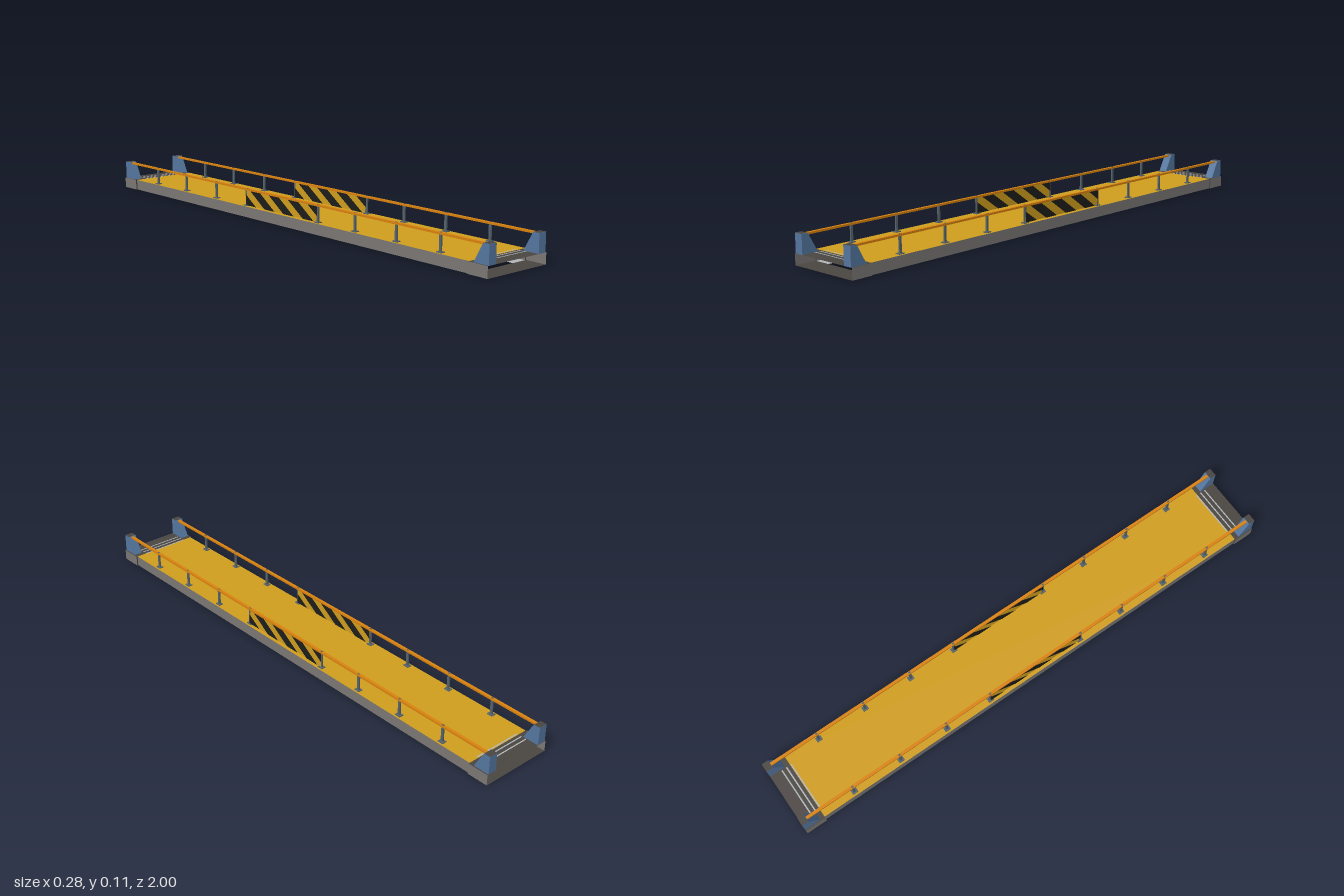
import * as THREE from 'three';

const mat = (name, color, side = THREE.FrontSide) => {
  const m = new THREE.MeshStandardMaterial({ color, side });
  m.name = name;
  return m;
};

export function createModel() {
  const D = THREE.DoubleSide;
  const yellow = mat('deck yellow', 0xd09e1e);
  const black = mat('stripe black', 0x1c1c1a);
  const grey = mat('side grey', 0x7a7773, D);
  const dark = mat('end plate dark', 0x4a4541, D);
  const under = mat('underside dark', 0x2e2a26);
  const blue = mat('post blue', 0x54769f);
  const orange = mat('rail orange', 0xd9820e);
  const steel = mat('stanchion steel', 0x56646c);
  const light = mat('light grey', 0xb2b5b8, D);

  const root = new THREE.Group();
  root.name = 'walkway';
  const add = (name, geo, m, x = 0, y = 0, z = 0) => {
    const mesh = new THREE.Mesh(geo, m);
    mesh.name = name;
    mesh.position.set(x, y, z);
    root.add(mesh);
    return mesh;
  };
  const box = (w, h, d) => new THREE.BoxGeometry(w, h, d);
  const flat = (w, d) => new THREE.PlaneGeometry(w, d).rotateX(-Math.PI / 2);
  const upright = (d, h) => new THREE.PlaneGeometry(d, h).rotateY(Math.PI / 2);

  const TOP = 0.04, HALF = 0.133, OUT = 0.138, JOIN = 0.92, FLANGE = 0.06;

  // Deck, open underneath
  add('deck', flat(HALF * 2, JOIN * 2), yellow, 0, TOP, 0);
  add('deckUnderside', flat(HALF * 2, JOIN * 2).rotateX(Math.PI), under, 0, TOP - 0.002, 0);

  // Wider open-ended sleeves at both ends
  for (const s of [-1, 1]) {
    const zc = s * (1 + JOIN) / 2, len = 1 - JOIN;
    add('endTop', flat(OUT * 2, len), dark, 0, TOP, zc);
    add('endBottom', flat(OUT * 2, len), dark, 0, 0, zc);
    for (const z of [0.916, 0.935, 0.954]) {
      add('treadStrip', flat(0.19, 0.005), light, 0, TOP + 0.002, s * z);
    }
    for (const x of [-1, 1]) {
      add('endSide', upright(len, TOP), grey, x * OUT, TOP / 2, zc);
      add('endStep', new THREE.PlaneGeometry(OUT - HALF, TOP), dark,
        x * (OUT + HALF) / 2, TOP / 2, s * JOIN);
    }
  }

  // Tapered end post, outline in length and height
  const postShape = new THREE.Shape([
    [0, 0], [0.062, 0], [0.025, 0.067], [0, 0.067],
  ].map(([u, v]) => new THREE.Vector2(u, v)));
  const postGeo = new THREE.ExtrudeGeometry(postShape, { depth: 0.033, bevelEnabled: false })
    .translate(0, 0, -0.0165).rotateY(Math.PI / 2);

  // Keep the part of a polygon where sign * (x - limit) >= 0
  const clip = (pts, limit, sign) => pts.flatMap((p, i) => {
    const q = pts[(i + 1) % pts.length];
    const a = sign * (p.x - limit), b = sign * (q.x - limit);
    const out = a >= 0 ? [p] : [];
    if (a * b < 0) out.push(p.clone().lerp(q, a / (a - b)));
    return out;
  });

  // Slanted stripes, falling to the right on the face they lie on
  const PANEL_H = 0.058, PANEL_Y = 0.042, RUN = 0.085;
  const stripes = [];
  for (let k = 0; k < 5; k++) {
    const a = 0.108 * k - 0.085, b = a + 0.058;
    const pts = [[a, PANEL_H], [a + RUN, 0], [b + RUN, 0], [b, PANEL_H]]
      .map(([u, v]) => new THREE.Vector2(u, v));
    const cut = clip(clip(pts, 0, 1), 0.4, -1);
    if (cut.length > 2) {
      stripes.push(new THREE.ShapeGeometry(new THREE.Shape(cut)).rotateY(Math.PI / 2));
    }
  }

  for (const s of [-1, 1]) {
    const x = s * 0.117;
    add('sideBeam', upright(JOIN * 2, TOP), grey, s * HALF, TOP / 2, 0);
    add('bottomFlange', flat(FLANGE, JOIN * 2), light, s * (HALF - FLANGE / 2), 0, 0);
    add('handrail', box(0.011, 0.007, 1.95), orange, x, 0.102, 0);

    // End posts with dark caps
    for (const e of [-1, 1]) {
      const post = add('endPost', postGeo, blue, x, TOP, e);
      if (e < 0) post.rotation.y = Math.PI;
      add('postCap', flat(0.033, 0.025), dark, x, 0.1075, e * 0.9875);
    }

    // Stanchions on foot plates
    for (const z of [0.2, 0.39, 0.588, 0.785]) {
      for (const e of [-1, 1]) {
        add('stanchion', box(0.006, 0.066, 0.009), steel, x, 0.073, e * z);
        add('stanchionFoot', box(0.018, 0.003, 0.022), steel, x, TOP + 0.0015, e * z);
      }
    }

    // Hazard panel with stripes on both faces
    add('hazardPanel', box(0.006, PANEL_H, 0.4), yellow, x, PANEL_Y + PANEL_H / 2, 0);
    for (const f of [-1, 1]) {
      for (const g of stripes) {
        const stripe = add('hazardStripe', g, black, x + f * 0.0045, PANEL_Y, f * 0.2);
        if (f < 0) stripe.rotation.y = Math.PI;
      }
    }
  }
  return root;
}
